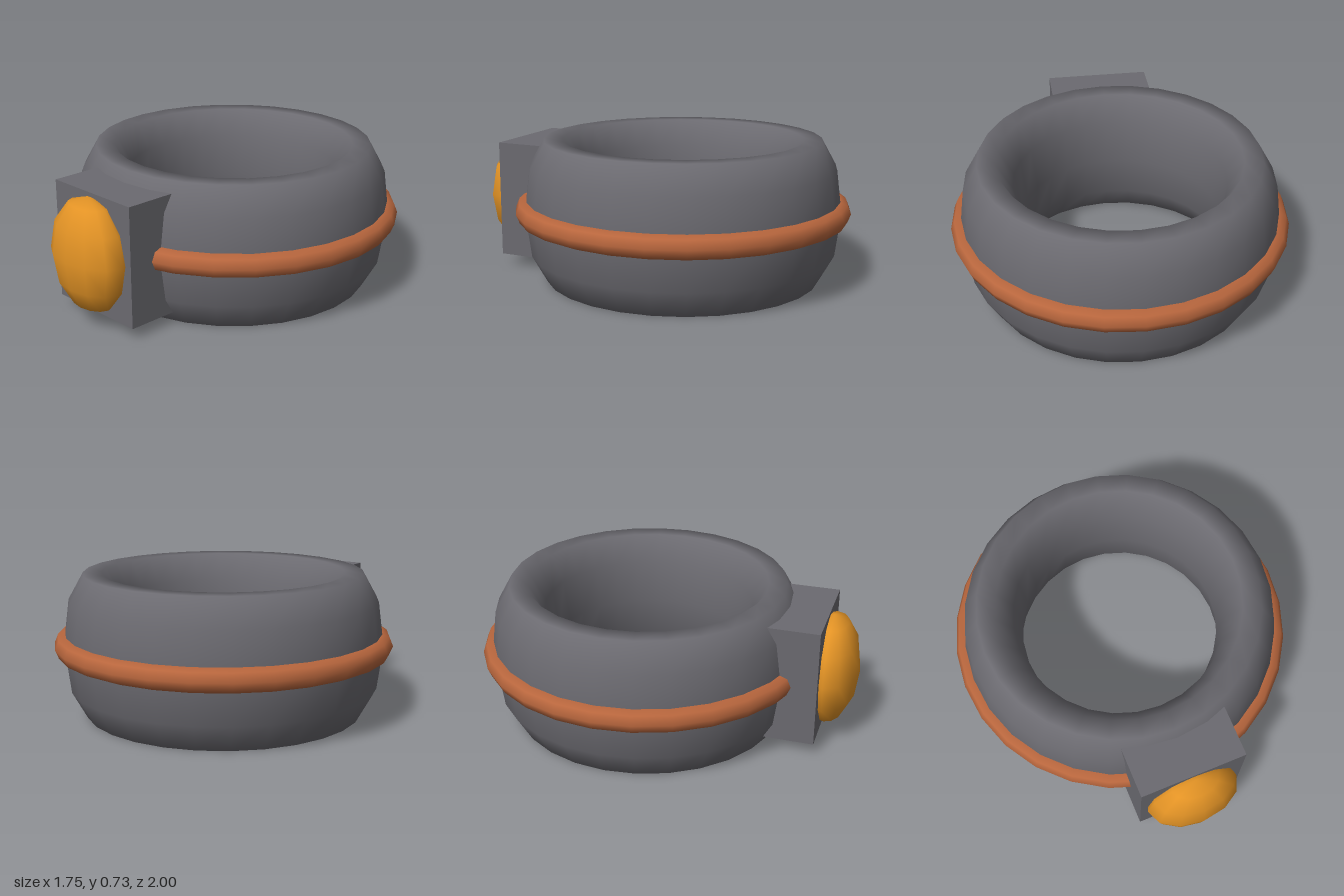
import * as THREE from 'three';

const mat = (name, color) => {
  const m = new THREE.MeshStandardMaterial({ color });
  m.name = name;
  return m;
};

export function createModel() {
  const group = new THREE.Group();
  const grey = mat('dark grey', 0x6b6a70);
  const copper = mat('copper', 0xb8663d);
  const amber = mat('amber', 0xe39325);
  const midY = 0.365;
  const ringZ = -0.125;

  const add = (name, geometry, material, y, z) => {
    const mesh = new THREE.Mesh(geometry, material);
    mesh.name = name;
    mesh.position.set(0, y, z);
    group.add(mesh);
  };

  // Horizontal torus with its tube stretched vertically
  const hoop = (radius, tube, sides, stretch) =>
    new THREE.TorusGeometry(radius, tube, sides, 28).rotateX(-Math.PI / 2).scale(1, stretch, 1);

  // Tall ring body and the thin band around its middle
  add('ringBody', hoop(0.672, 0.155, 10, 2.476), grey, midY, ringZ);
  add('outerBand', hoop(0.812, 0.063, 8, 1), copper, midY, ringZ);

  // Block on the front, its back sunk into the ring
  add('frontBlock', new THREE.BoxGeometry(0.55, 0.615, 0.3), grey, 0.3675, 0.68);

  // Oval gem set in the block
  const gem = new THREE.SphereGeometry(1, 12, 6).scale(0.245, 0.296, 0.15);
  add('gem', gem, amber, 0.368, 0.85);

  return group;
}
